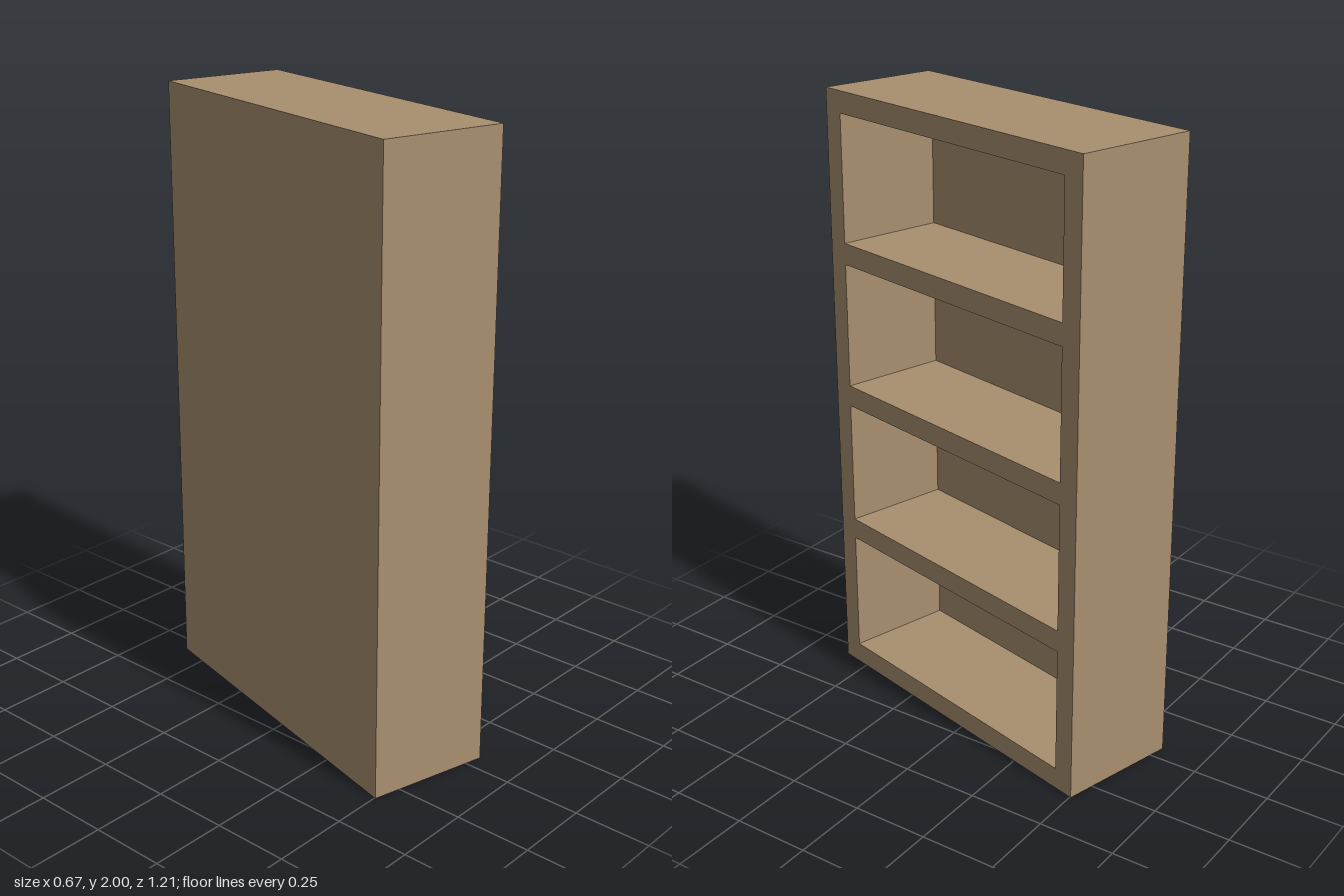
import * as THREE from 'three';

const DEPTH = 0.405, WIDTH = 1.143, HEIGHT = 2;
const BACK = 0.044, BOARD = 0.07;

export function createModel() {
  const wood = new THREE.MeshStandardMaterial({ color: 0xa88e6f });
  wood.name = 'wood';

  const bookcase = new THREE.Group();
  bookcase.name = 'bookcase';

  const addBoard = (name, w, h, d, x, y, z) => {
    const board = new THREE.Mesh(new THREE.BoxGeometry(w, h, d), wood);
    board.name = name;
    board.position.set(x, y, z);
    bookcase.add(board);
  };

  // Full-width back; the open side faces local +x
  addBoard('backPanel', BACK, HEIGHT, WIDTH, (BACK - DEPTH) / 2, HEIGHT / 2, 0);

  // Two upright sides
  const innerDepth = DEPTH - BACK;
  for (const s of [-1, 1]) {
    addBoard(s < 0 ? 'farSide' : 'nearSide', innerDepth, HEIGHT, BOARD,
      BACK / 2, HEIGHT / 2, s * (WIDTH - BOARD) / 2);
  }

  // Base, three shelves and top, evenly spaced
  const names = ['base', 'lowerShelf', 'middleShelf', 'upperShelf', 'top'];
  names.forEach((name, i) => {
    const y = BOARD / 2 + i * (HEIGHT - BOARD) / (names.length - 1);
    addBoard(name, innerDepth, BOARD, WIDTH - 2 * BOARD, BACK / 2, y, 0);
  });

  // The whole case stands turned slightly
  bookcase.rotation.y = -0.2496;
  const model = new THREE.Group();
  model.name = 'model';
  model.add(bookcase);
  return model;
}
